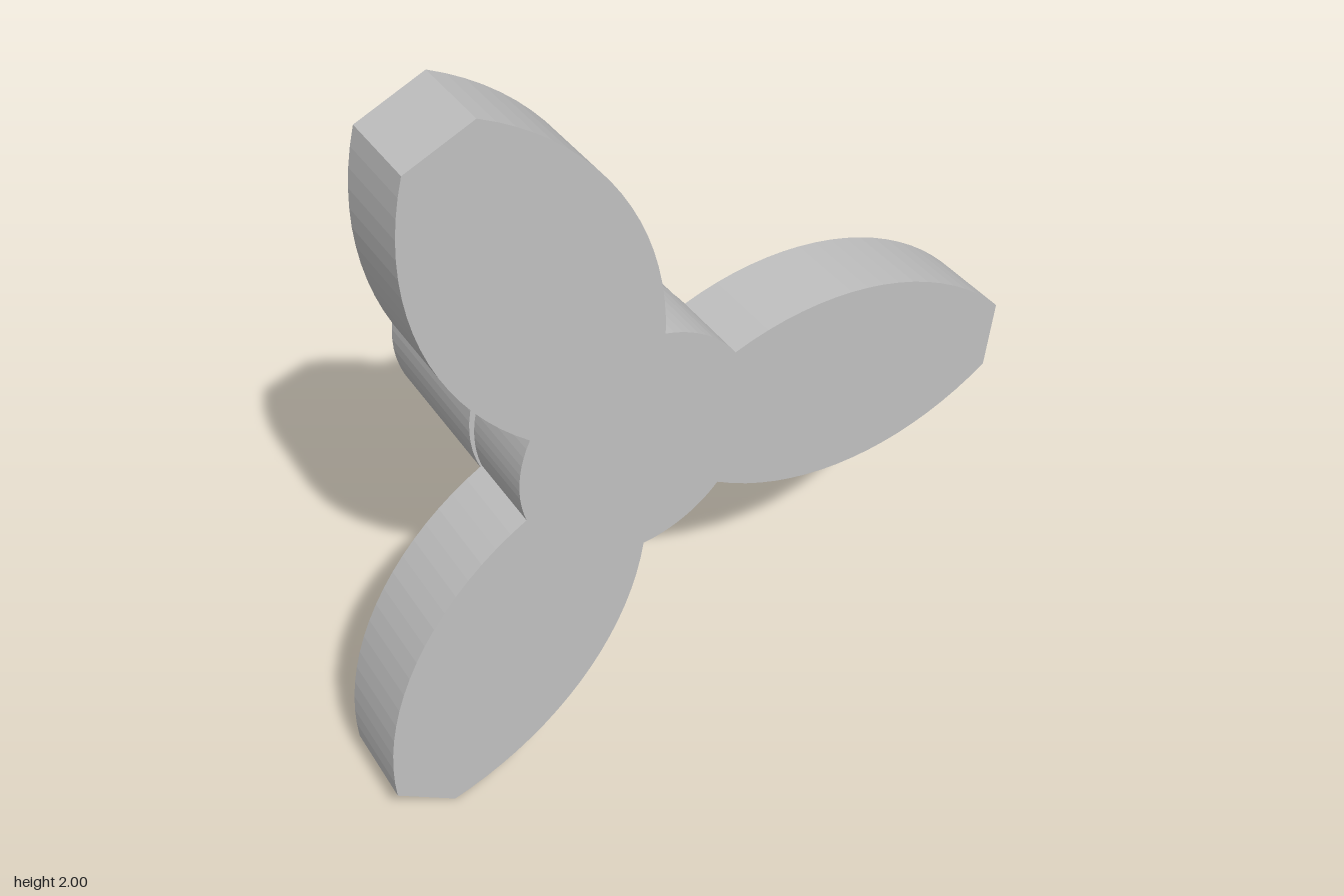
import * as THREE from 'three';

const HUB_R = 0.325, BORE_R = 0.032;
const BACK_Z = -0.345, FRONT_Z = 0.09;
const V = (x, y) => new THREE.Vector2(x, y);

// Points of a counter-clockwise arc between two points around a centre, end point left out
function arc(center, from, to, steps) {
  const a = from.clone().sub(center), b = to.clone().sub(center);
  const t0 = Math.atan2(a.y, a.x);
  const sweep = (Math.atan2(b.y, b.x) - t0 + Math.PI * 2) % (Math.PI * 2);
  return Array.from({ length: steps }, (_, i) => {
    const k = i / steps, t = t0 + sweep * k;
    const r = THREE.MathUtils.lerp(a.length(), b.length(), k);
    return V(center.x + r * Math.cos(t), center.y + r * Math.sin(t));
  });
}

// Faceted solid of revolution about z, profile given as [radius, z]
function turned(profile, segments) {
  const g = new THREE.LatheGeometry(profile.map(([r, z]) => V(r, z)), segments).toNonIndexed();
  g.rotateX(Math.PI / 2);
  g.computeVertexNormals();
  return g;
}

// Outline of one blade and the hub arc after it, repeated three times
function propellerShape() {
  const third = Math.PI * 2 / 3, origin = V(0, 0);
  const rootLow = V(0.235, -0.222), tipLow = V(1.09, -0.19);
  const tipHigh = V(1.108, 0), rootHigh = V(0.275, 0.178);
  const nextRoot = rootLow.clone().rotateAround(origin, third);
  const sector = [
    ...arc(V(0.635, 0.437), rootLow, tipLow, 18),
    tipLow,
    ...arc(V(0.555, -0.543), tipHigh, rootHigh, 18),
    ...arc(origin, rootHigh, nextRoot, 10),
  ];
  const points = [];
  for (let i = 0; i < 3; i++) {
    for (const p of sector) points.push(p.clone().rotateAround(origin, i * third));
  }
  return new THREE.Shape(points);
}

export function createModel() {
  const model = new THREE.Group();
  model.name = 'motorAndPropeller';
  const gray = new THREE.MeshStandardMaterial({ color: 0xc0c0c0 });
  gray.name = 'plainGray';

  const assembly = new THREE.Group();
  assembly.name = 'assembly';
  assembly.position.set(-0.196, 0.96, 0);
  model.add(assembly);

  const add = (name, geometry, parent = assembly) => {
    const mesh = new THREE.Mesh(geometry, gray);
    mesh.name = name;
    parent.add(mesh);
    return mesh;
  };

  // Thick three-bladed propeller
  const blades = new THREE.ExtrudeGeometry(propellerShape(), { depth: 0.23, bevelEnabled: false });
  add('propeller', blades.translate(0, 0, 0.117));

  // Thin shaft between motor and propeller
  add('shaft', turned([[0.033, FRONT_Z - 0.01], [0.033, 0.125]], 32));

  // Motor: wall and front cap, then the back cap with its three blind bores
  const motor = new THREE.Group();
  motor.name = 'motor';
  assembly.add(motor);
  add('motorCasing', turned([[HUB_R, BACK_Z], [HUB_R, FRONT_Z], [0, FRONT_Z]], 64), motor);

  const cap = new THREE.Shape().absarc(0, 0, HUB_R, 0, Math.PI * 2);
  for (let i = 0; i < 3; i++) {
    const t = Math.PI / 3 + i * Math.PI * 2 / 3;
    const x = 0.146 * Math.cos(t), y = 0.146 * Math.sin(t);
    // The cap is turned about y, so its outline is mirrored in x
    cap.holes.push(new THREE.Path().absarc(-x, y, BORE_R, 0, Math.PI * 2, true));
    const bore = add('mountingBore', turned(
      [[0, BACK_Z + 0.12], [BORE_R, BACK_Z + 0.12], [BORE_R, BACK_Z]], 32), motor);
    bore.position.set(x, y, 0);
  }
  const capGeometry = new THREE.ShapeGeometry(cap, 32);
  add('motorBackCap', capGeometry.rotateY(Math.PI).translate(0, 0, BACK_Z), motor);

  return model;
}
